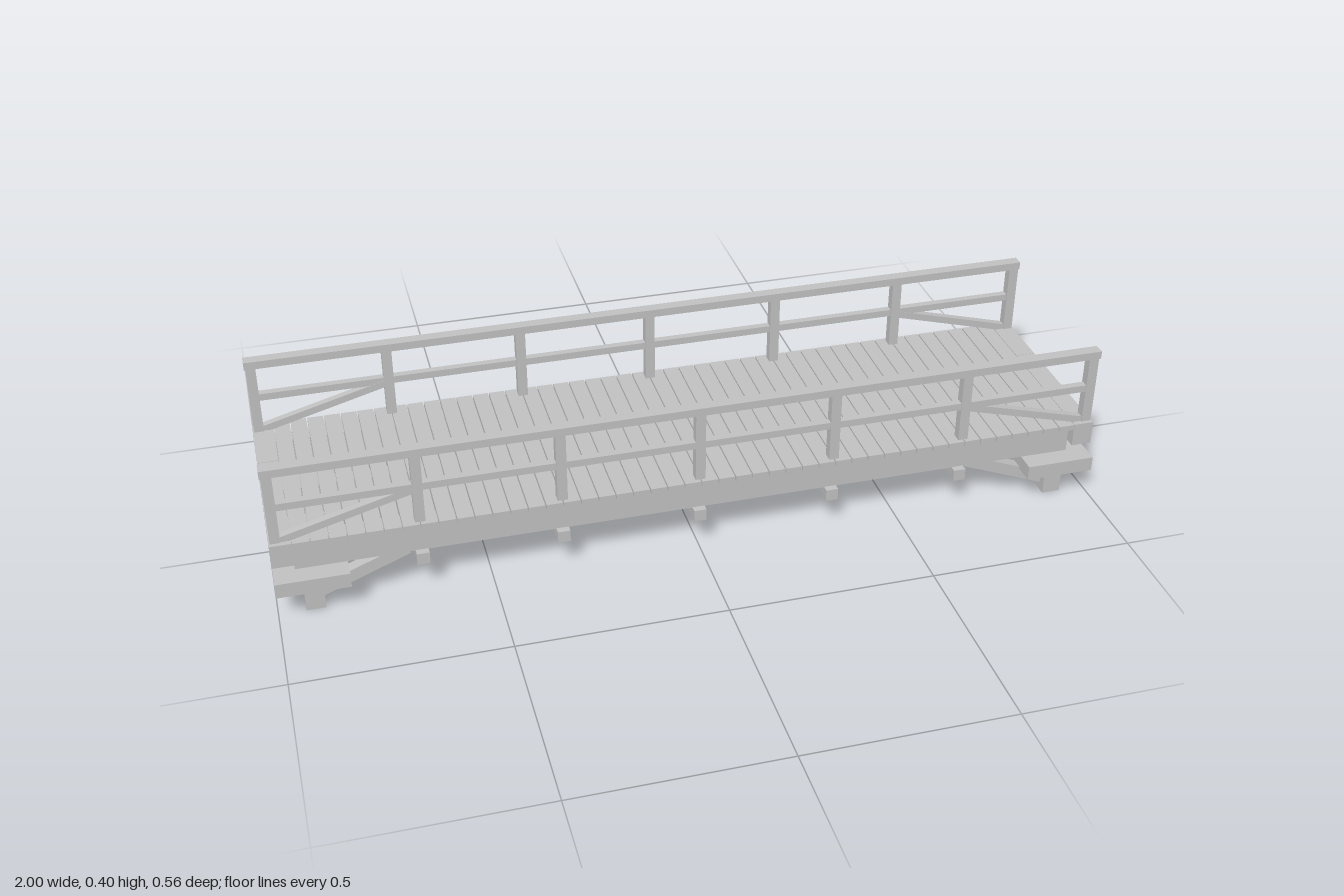
import * as THREE from 'three';

export function createModel() {
  const bridge = new THREE.Group();
  bridge.name = 'footbridge';
  const timber = new THREE.MeshStandardMaterial({ color: 0xc0c0c0 });
  timber.name = 'grey timber';

  // Box given by its centre and size
  function box(name, x, y, z, w, h, d) {
    const mesh = new THREE.Mesh(new THREE.BoxGeometry(w, h, d), timber);
    mesh.name = name;
    mesh.position.set(x, y, z);
    bridge.add(mesh);
    return mesh;
  }

  // Sloping bar between two points in a plane of constant z
  function bar(name, x1, y1, x2, y2, z, h, d) {
    const mesh = box(name, (x1 + x2) / 2, (y1 + y2) / 2, z, Math.hypot(x2 - x1, y2 - y1), h, d);
    mesh.rotation.z = Math.atan2(y2 - y1, x2 - x1);
  }

  // Deck planks with narrow gaps
  const count = 46, pitch = 1.9 / count;
  for (let i = 0; i < count; i++) {
    box('deckPlank', -0.95 + (i + 0.5) * pitch, 0.191, 0, pitch - 0.003, 0.014, 0.52);
  }

  // Long stringers under the deck
  for (const z of [-0.213, 0, 0.213]) box('stringer', 0, 0.146, z, 1.9, 0.076, 0.04);

  // Cross beams and intermediate railing posts share the same bays
  for (let i = -2; i <= 2; i++) {
    const x = i * 0.33;
    box('crossBeam', x, 0.094, 0, 0.03, 0.03, 0.5);
    for (const z of [-0.2375, 0.2375]) box('railingPost', x, 0.287, z, 0.024, 0.178, 0.024);
  }

  // Both ends: edge boards, bearing slabs, feet and braces
  for (const s of [-1, 1]) {
    for (let i = -1; i <= 1; i++) box('endBoard', s * 0.975, 0.168, i * 0.1735, 0.05, 0.06, 0.172);
    box('bearingSlab', s * 0.915, 0.0895, 0, 0.17, 0.037, 0.564);
    for (const t of [-1, 1]) {
      box('foot', s * 0.914, 0.026, t * 0.215, 0.045, 0.052, 0.07);
      bar('footBrace', s * 0.91, 0.028, s * 0.69, 0.116, t * 0.215, 0.03, 0.03);
      box('endPost', s * 0.985, 0.287, t * 0.2375, 0.024, 0.178, 0.024);
      bar('railingBrace', s * 0.98, 0.2, s * 0.66, 0.287, t * 0.2375, 0.018, 0.018);
    }
  }

  // Handrails and middle rails
  for (const z of [-0.2385, 0.2385]) {
    box('handrail', 0, 0.385, z, 2, 0.02, 0.028);
    box('middleRail', 0, 0.292, z, 1.97, 0.018, 0.018);
  }
  return bridge;
}
